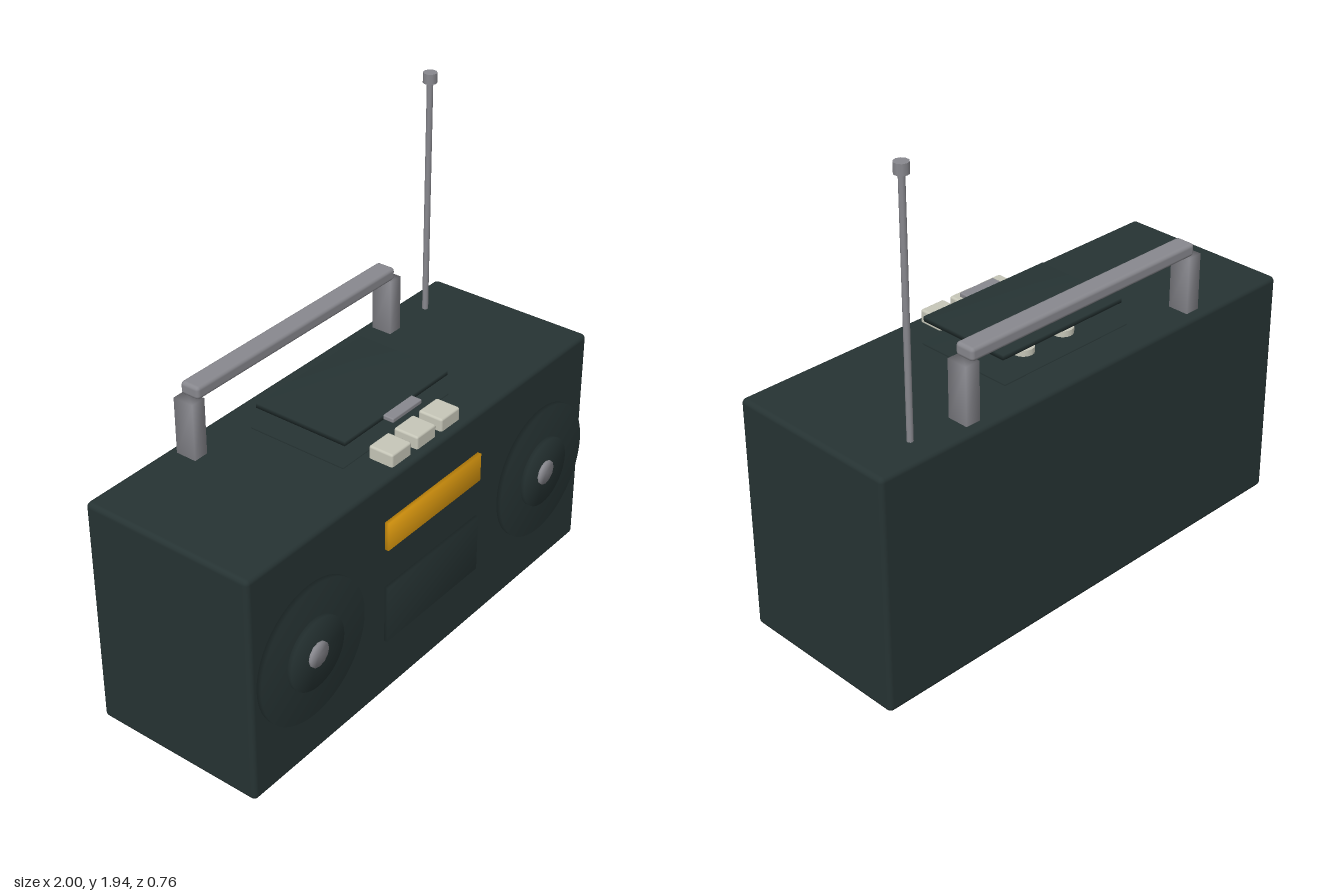
import * as THREE from 'three';
import { mergeVertices } from 'three/addons/utils/BufferGeometryUtils.js';
import { RoundedBoxGeometry } from 'three/addons/geometries/RoundedBoxGeometry.js';

const material = (name, color) => {
  const m = new THREE.MeshStandardMaterial({ color });
  m.name = name;
  return m;
};

// Shares corner normals so that small parts shade softly.
function soften(geometry) {
  geometry.deleteAttribute('normal');
  geometry.deleteAttribute('uv');
  const merged = mergeVertices(geometry);
  merged.computeVertexNormals();
  return merged;
}

export function createModel() {
  const casing = material('dark casing', 0x263333);
  const metal = material('grey metal', 0x88888e);
  const amber = material('amber display', 0xe6a010);
  const cream = material('cream plastic', 0xc6c6b8);
  const model = new THREE.Group();
  model.name = 'portableStereo';

  const add = (parent, name, geometry, mat, x, y, z) => {
    const mesh = new THREE.Mesh(geometry, mat);
    mesh.name = name;
    mesh.position.set(x, y, z);
    parent.add(mesh);
    return mesh;
  };
  // Boxes are given by their low and high corners.
  const span = (parent, name, mat, [x0, y0, z0], [x1, y1, z1], radius = 0) => {
    const size = [x1 - x0, y1 - y0, z1 - z0];
    const geometry = radius
      ? new RoundedBoxGeometry(...size, 2, radius)
      : soften(new THREE.BoxGeometry(...size));
    return add(parent, name, geometry, mat, (x0 + x1) / 2, (y0 + y1) / 2, (z0 + z1) / 2);
  };
  const group = (name) => {
    const g = new THREE.Group();
    g.name = name;
    model.add(g);
    return g;
  };

  // Casing and front panels
  span(model, 'body', casing, [-1, 0, -0.382], [1, 0.945, 0.338], 0.02);
  span(model, 'display', amber, [-0.278, 0.656, 0.33], [0.278, 0.773, 0.354]);
  span(model, 'cassetteDoor', casing, [-0.278, 0.248, 0.33], [0.278, 0.49, 0.352]);

  // Speakers: stacked discs facing forward
  for (const side of [-1, 1]) {
    const speaker = group(side > 0 ? 'leftSpeaker' : 'rightSpeaker');
    const discs = [
      ['rim', 0.277, 0.358, casing, 48],
      ['cone', 0.143, 0.374, casing, 40],
      ['cap', 0.05, 0.382, metal, 12],
    ];
    for (const [name, radius, front, mat, sides] of discs) {
      const depth = front - 0.33;
      const geometry = soften(new THREE.CylinderGeometry(radius, radius, depth, sides));
      geometry.rotateX(Math.PI / 2);
      add(speaker, name, geometry, mat, side * 0.695, 0.477, 0.33 + depth / 2);
    }
  }

  // Carrying handle
  const handle = group('handle');
  for (const x of [-0.557, 0.557]) {
    span(handle, 'handlePost', metal, [x - 0.031, 0.935, -0.342], [x + 0.031, 1.172, -0.256]);
  }
  span(handle, 'handleBar', metal, [-0.556, 1.172, -0.34], [0.556, 1.224, -0.257], 0.015);

  // Aerial
  const aerial = group('aerial');
  add(aerial, 'aerialRod', new THREE.CylinderGeometry(0.012, 0.012, 0.97, 10), metal, 0.776, 1.415, -0.273);
  add(aerial, 'aerialTip', new THREE.CylinderGeometry(0.027, 0.027, 0.04, 10), metal, 0.776, 1.916, -0.273);

  // Top deck with raised lid, latch and spools
  const deck = group('topDeck');
  span(deck, 'deckPlate', casing, [-0.31, 0.935, -0.24], [0.31, 0.951, 0.178]);
  span(deck, 'lid', casing, [-0.3, 1.034, -0.222], [0.3, 1.053, 0.178]);
  span(deck, 'lidLatch', metal, [-0.084, 1.034, 0.174], [0.084, 1.053, 0.222], 0.005);
  for (const x of [-0.1, 0.1]) {
    add(deck, 'spool', new THREE.CylinderGeometry(0.042, 0.042, 0.03, 16), cream, x, 0.96, -0.12);
  }

  // Push buttons
  for (const x of [-0.144, 0, 0.144]) {
    span(model, 'button', cream, [x - 0.056, 0.935, 0.203], [x + 0.056, 0.996, 0.307], 0.009);
  }

  return model;
}
